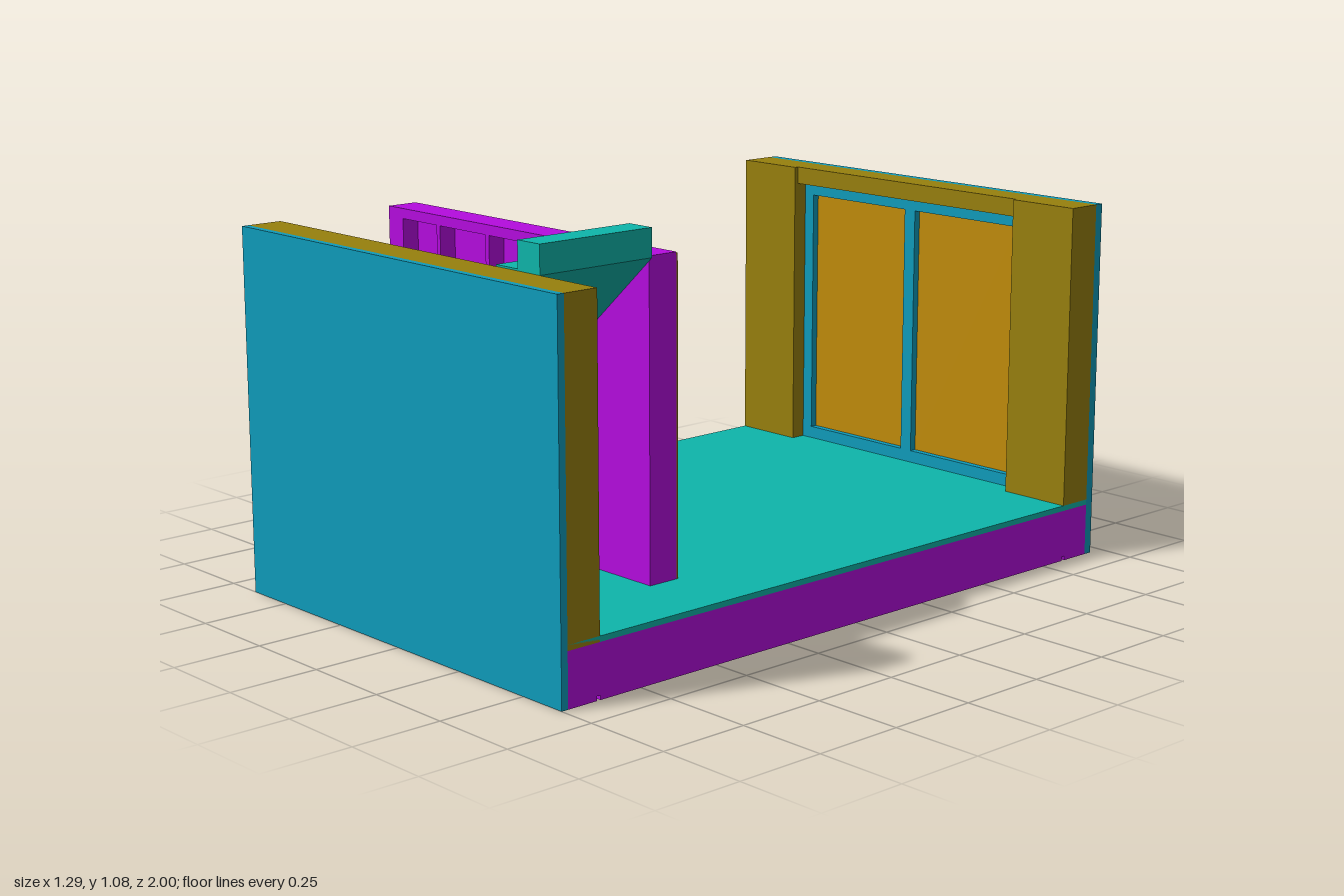
import * as THREE from 'three';

const mat = (color) => new THREE.MeshStandardMaterial({ color, flatShading: true });

export function createModel() {
  const model = new THREE.Group();
  const blue = mat(0x0f9bba), teal = mat(0x0eb5aa), purple = mat(0xb40cde);
  const gold = mat(0x97800d), amber = mat(0xc08c0a);
  const W = 0.643;

  // Box given by its limits on each axis
  function box(name, m, x0, x1, y0, y1, z0, z1) {
    const mesh = new THREE.Mesh(new THREE.BoxGeometry(x1 - x0, y1 - y0, z1 - z0), m);
    mesh.position.set((x0 + x1) / 2, (y0 + y1) / 2, (z0 + z1) / 2);
    mesh.name = name;
    model.add(mesh);
    return mesh;
  }
  const rect = (Type, x0, x1, y0, y1) => new Type([
    [x0, y0], [x1, y0], [x1, y1], [x0, y1]].map((p) => new THREE.Vector2(...p)));

  // Shape in the xy plane pushed from z0 to z1
  function extrude(name, m, shape, z0, z1) {
    const mesh = new THREE.Mesh(
      new THREE.ExtrudeGeometry(shape, { depth: z1 - z0, bevelEnabled: false }), m);
    mesh.position.z = z0;
    mesh.name = name;
    model.add(mesh);
  }
  // Rectangular panel with rectangular openings
  function panel(name, m, outer, holes, z0, z1) {
    const shape = rect(THREE.Shape, ...outer);
    holes.forEach((h) => shape.holes.push(rect(THREE.Path, ...h)));
    extrude(name, m, shape, z0, z1);
  }

  // Floor: base with planked underside, and floor covering
  box('floorBase', purple, -W, W, 0.012, 0.145, -0.93, 0.98);
  box('floorCovering', teal, -W, W, 0.145, 0.16, -0.93, 0.98);
  const planks = 7, pw = (2 * W) / planks, gap = 0.006;
  for (let i = 0; i < planks; i++) {
    box('undersidePlank', purple, -W + i * pw + (i ? gap : 0), -W + (i + 1) * pw - (i < planks - 1 ? gap : 0),
      0, 0.012, -0.83, 0.88);
  }
  box('undersideFrontBeam', purple, -W, W, 0, 0.012, 0.89, 0.98);
  box('undersideBackBeam', purple, -W, W, 0, 0.012, -0.93, -0.84);

  // Front wall
  box('frontCladding', blue, -W, W, 0, 1, 0.98, 1);
  box('frontInnerWall', gold, -W, W, 0.145, 1, 0.88, 0.98);

  // Back wall with window opening
  const opening = [-0.425, 0.425, 0.165, 0.945];
  panel('backCladding', blue, [-W, W, 0, 1], [opening], -0.955, -0.93);
  for (const s of [-1, 1]) {
    box('backInnerWallSide', gold, Math.min(s * 0.43, s * W), Math.max(s * 0.43, s * W), 0.145, 1, -0.93, -0.83);
  }
  box('backInnerHeader', gold, -0.43, 0.43, 0.95, 1, -0.93, -0.842);

  // Window: surround, casing, sash, mullion and panes
  panel('windowSurround', blue, [-0.43, 0.43, 0.15, 0.95], [opening], -0.998, -0.955);
  panel('windowCasing', blue, [-0.465, 0.465, 0.11, 0.99], [opening], -1, -0.997);
  panel('windowSash', blue, [-0.43, 0.43, 0.16, 0.95],
    [[-0.395, -0.02, 0.195, 0.915], [0.02, 0.395, 0.195, 0.915]], -0.93, -0.875);
  for (const s of [-1, 1]) {
    box('windowPane', amber, s * 0.2075 - 0.1875, s * 0.2075 + 0.1875, 0.195, 0.915, -0.91, -0.895);
  }

  // Partition beside the stairs, with niches that climb with the steps
  const niches = [[-0.58, -0.43, 0.45, 0.975], [-0.415, -0.22, 0.64, 0.975], [-0.205, -0.01, 0.83, 0.975]];
  panel('partitionFront', purple, [-W, 0.425, 0.16, 1.003], niches, 0.475, 0.525);
  box('partitionBack', purple, -W, 0.425, 0.16, 1.003, 0.435, 0.475);
  box('partitionSkin', gold, -W, 0.425, 0.16, 1.0, 0.43, 0.435);

  // Staircase rising towards +x, with a sloped soffit and vertical support
  const steps = 13, run = 0.083, rise = 0.0704;
  const stair = new THREE.Shape();
  stair.moveTo(-W, 0.16);
  for (let i = 0; i < steps; i++) {
    stair.lineTo(-W + i * run, 0.16 + (i + 1) * rise);
    stair.lineTo(-W + (i + 1) * run, 0.16 + (i + 1) * rise);
  }
  stair.lineTo(-W + steps * run, 1.0);
  stair.lineTo(0.02, 0.63);
  stair.lineTo(0.02, 0.16);
  stair.closePath();
  extrude('staircase', teal, stair, 0.525, 0.88);

  return model;
}
